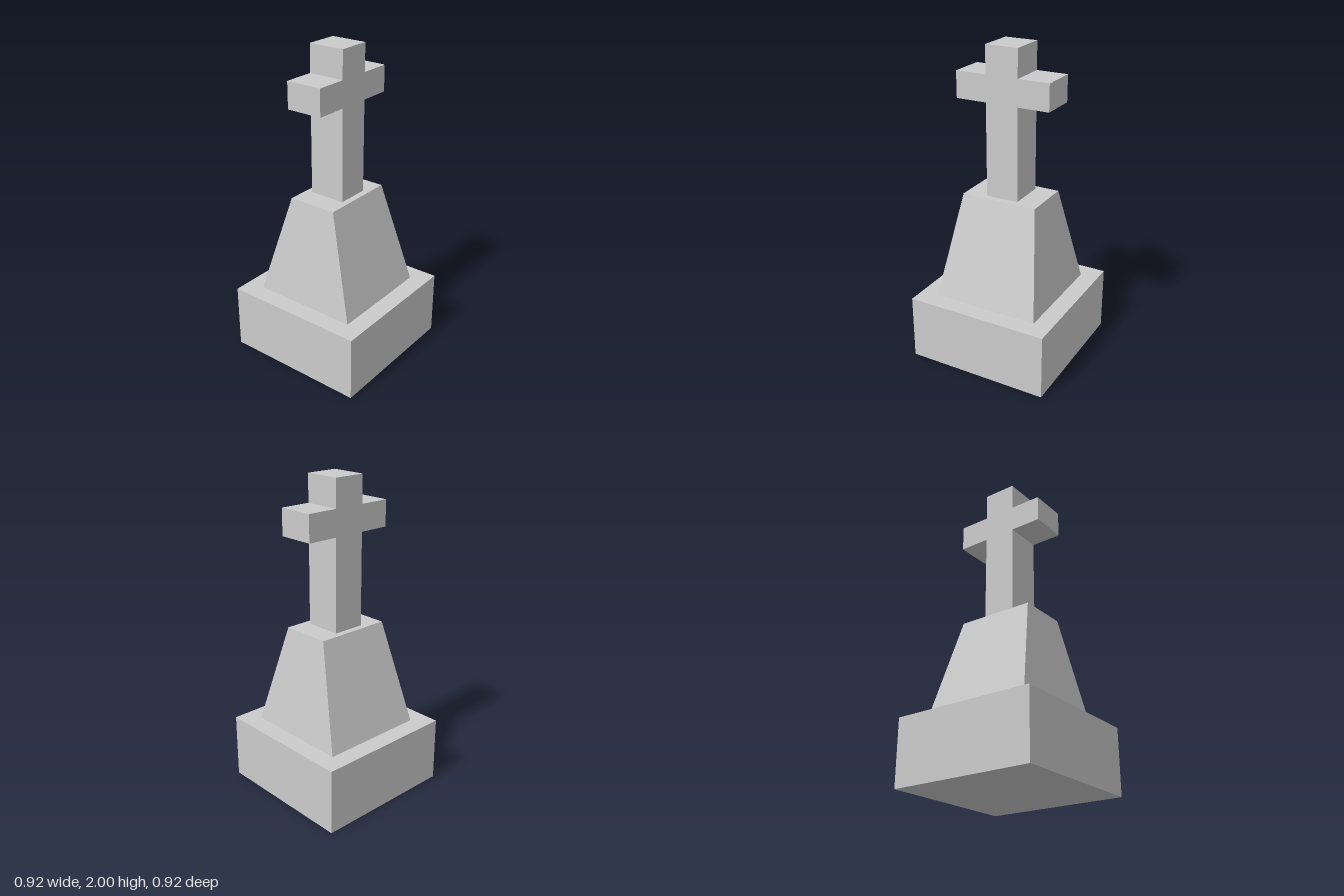
import * as THREE from 'three';

const material = new THREE.MeshStandardMaterial({ color: 0xcccccc, flatShading: true });

function part(name, geometry, y) {
  const mesh = new THREE.Mesh(geometry, material);
  mesh.name = name;
  mesh.position.y = y;
  return mesh;
}

// Box whose top face is narrowed to the given width and depth
function taperedBox(bottomW, bottomD, topW, topD, height) {
  const geometry = new THREE.BoxGeometry(bottomW, height, bottomD);
  const p = geometry.attributes.position;
  for (let i = 0; i < p.count; i++) {
    if (p.getY(i) > 0) {
      p.setX(i, Math.sign(p.getX(i)) * topW / 2);
      p.setZ(i, Math.sign(p.getZ(i)) * topD / 2);
    }
  }
  geometry.computeVertexNormals();
  return geometry;
}

// Cross outline standing on y = 0, extruded so its arms run along z
function crossGeometry(shaft, arm, armLow, armHigh, height, thickness) {
  const half = [[shaft, 0], [shaft, armLow], [arm, armLow], [arm, armHigh], [shaft, armHigh], [shaft, height]];
  const mirrored = half.map(([x, y]) => [-x, y]).reverse();
  const shape = new THREE.Shape([...half, ...mirrored].map(([x, y]) => new THREE.Vector2(x, y)));
  const geometry = new THREE.ExtrudeGeometry(shape, { depth: thickness, bevelEnabled: false });
  return geometry.translate(0, 0, -thickness / 2).rotateY(Math.PI / 2);
}

export function createModel() {
  const model = new THREE.Group();
  model.name = 'crossMonument';

  const baseTop = 0.417, pedestalTop = 1.073;
  const pedestalHeight = pedestalTop - baseTop;

  // Square base slab
  model.add(part('base', new THREE.BoxGeometry(0.92, baseTop, 0.92), baseTop / 2));

  // Tapering pedestal
  model.add(part('pedestal', taperedBox(0.686, 0.686, 0.318, 0.493, pedestalHeight), baseTop + pedestalHeight / 2));

  // Cross on top
  const cross = part('cross',
    crossGeometry(0.105, 0.305, 1.66 - pedestalTop, 1.826 - pedestalTop, 2 - pedestalTop, 0.235), pedestalTop);
  cross.position.z = -0.002;
  model.add(cross);

  return model;
}
